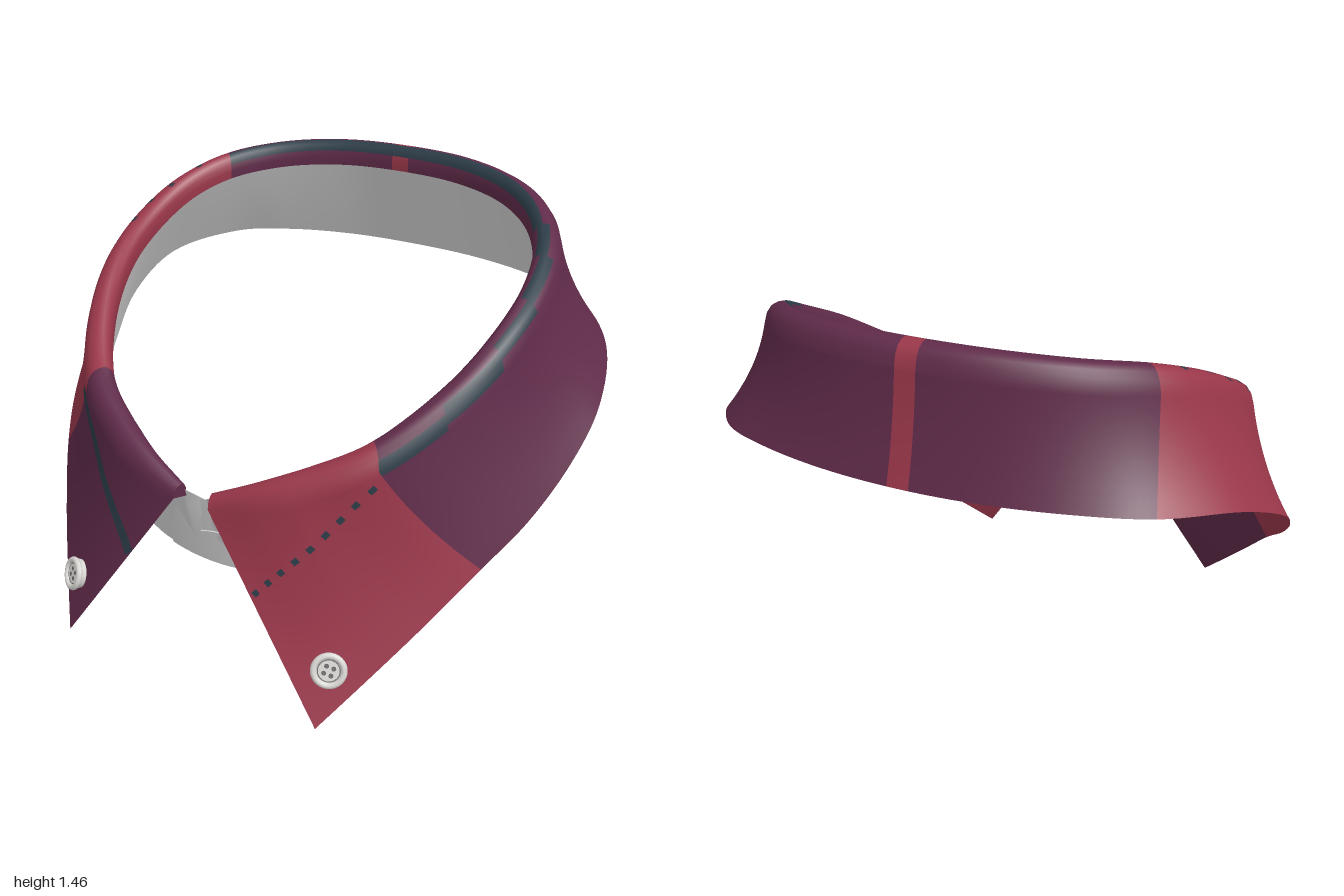
import * as THREE from 'three';

const V = (x, y, z) => new THREE.Vector3(x, y, z);
const { lerp, clamp } = THREE.MathUtils;
const mat = (name, color) => {
  const m = new THREE.MeshStandardMaterial({ color, side: THREE.DoubleSide });
  m.name = name;
  return m;
};

// Stations from front opening, round the left side, to centre back (mirrored for the right)
const crestHalf = [
  [.06, .665, .71], [.22, .735, .675], [.38, .805, .605], [.53, .885, .51], [.69, 1.04, .29], [.76, 1.17, .08],
  [.768, 1.265, -.12], [.73, 1.34, -.29], [.64, 1.395, -.44], [.48, 1.43, -.58], [.26, 1.45, -.665], [0, 1.455, -.69]];
const hemHalf = [
  [.5, 0, .81], [.60, .13, .69], [.72, .29, .54], [.84, .46, .37], [.925, .58, .215], [.985, .72, .03],
  [1, .845, -.15], [.93, .96, -.39], [.74, 1.01, -.63], [.54, 1.025, -.73], [.28, 1.03, -.795], [0, 1.03, -.815]];
const bandHalf = [
  [.06, .347, .614], [.23, .365, .592], [.40, .415, .535], [.59, .495, .425], [.77, .625, .23], [.86, .75, .025],
  [.91, .865, -.165], [.88, .97, -.385], [.715, 1.02, -.61], [.53, 1.03, -.71], [.275, 1.035, -.775], [0, 1.035, -.795]];

const LAST = 22;
const ring = half => {
  const left = half.map(p => V(...p));
  const right = half.slice(0, -1).reverse().map(p => V(-p[0], p[1], p[2]));
  return new THREE.CatmullRomCurve3([...left, ...right]);
};
const crest = ring(crestHalf), hem = ring(hemHalf), bandHem = ring(bandHalf);
const at = (curve, w) => curve.getPoint(clamp(w / LAST, 0, 1));
const fromEnd = w => Math.max(0, Math.min(w, LAST - w));

// Point of the rolled fold: outward offset and height from the crest; the roll is tighter at its ends
function foldPoint(w, out, dy) {
  const t = crest.getTangent(clamp(w / LAST, 0, 1));
  const n = V(-t.z, 0, t.x).normalize();
  const s = lerp(.55, 1, Math.min(1, fromEnd(w) / 1.5));
  return at(crest, w).addScaledVector(n, out * s).add(V(0, dy * s, 0));
}

// Point of the hanging leaf, flaring from the fold (v = 0) to the hem (v = 1)
function leafPoint(w, v) {
  const a = foldPoint(w, .052, -.07), b = at(hem, w);
  const k = lerp(.5, .24, Math.min(1, fromEnd(w) / 5));
  const c = V(lerp(a.x, b.x, k), (a.y + b.y) / 2, lerp(a.z, b.z, k));
  return new THREE.QuadraticBezierCurve3(a, c, b).getPoint(v);
}

function leafNormal(w, v) {
  const e = .02, w0 = Math.max(0, w - e), w1 = Math.min(LAST, w + e);
  const dw = leafPoint(w1, v).sub(leafPoint(w0, v));
  const dv = leafPoint(w, Math.min(1, v + e)).sub(leafPoint(w, Math.max(0, v - e)));
  return dv.cross(dw).normalize();
}

// Smooth surface through columns of points; pick(i, j) gives each cell's material slot
function grid(cols, pick = () => 0, slots = 1) {
  const rows = cols[0].length, lists = Array.from({ length: slots }, () => []);
  for (let i = 0; i < cols.length - 1; i++)
    for (let j = 0; j < rows - 1; j++) {
      const a = i * rows + j, b = a + rows;
      lists[pick(i, j)].push(a, a + 1, b, b, a + 1, b + 1);
    }
  const g = new THREE.BufferGeometry().setFromPoints(cols.flat());
  g.setIndex(lists.flat());
  let start = 0;
  lists.forEach((l, s) => { g.addGroup(start, l.length, s); start += l.length; });
  g.computeVertexNormals();
  return g;
}

// Accent line on a front point: height on the leaf by distance u from the opening
const accent = u => .4 - .33 * u / 3 + .045 * Math.sin(Math.PI * u / 3);

// Thin strip lying on the leaf along the accent line, on the left or right half
function ribbon(u0, u1, right, width, steps) {
  const point = u => [right ? LAST - u : u, accent(u)];
  const cols = [];
  for (let i = 0; i <= steps; i++) {
    const u = lerp(u0, u1, i / steps);
    const n = leafNormal(...point(u));
    const along = leafPoint(...point(u + .02)).sub(leafPoint(...point(u - .02)));
    const side = along.cross(n).normalize().multiplyScalar(width / 2);
    const p = leafPoint(...point(u)).addScaledVector(n, .004);
    cols.push([p.clone().add(side), p.clone().sub(side)]);
  }
  return grid(cols);
}

export function createModel() {
  const model = new THREE.Group();
  const red = mat('red cloth', 0x9a374a), purple = mat('purple cloth', 0x602b49), teal = mat('dark teal cloth', 0x2c3c47);
  const lining = mat('pale grey lining', 0xd9d9d9), pearl = mat('button white', 0xdad8d4);
  const grey = mat('button grey', 0x6c6c6e);
  const add = (name, geo, material, parent = model) => {
    const m = new THREE.Mesh(geo, material);
    m.name = name;
    parent.add(m);
    return m;
  };

  // Folded collar in colour-blocked cloth
  const ws = [10.87, 11.13];
  for (let i = 0; i <= LAST * 8; i++) ws.push(i / 8);
  ws.sort((a, b) => a - b);
  const roll = [[-.045, -.09], [-.047, -.062], [-.045, -.036], [-.036, -.014], [-.018, 0], [.005, -.003], [.026, -.014], [.042, -.036]];
  const column = w => {
    const pts = roll.map(r => foldPoint(w, ...r));
    for (let j = 0; j <= 12; j++) pts.push(leafPoint(w, (j / 12) ** 1.3));
    return pts;
  };
  const flecks = [[16.8, 17.05, 6], [16.35, 16.5, 5], [15.85, 16, 5], [15.35, 15.5, 4], [14.6, 14.75, 4]];
  const pick = (i, j) => {
    const w = (ws[i] + ws[i + 1]) / 2;
    if (w > 10.87 && w < 11.13) return j === 2 || j === 3 ? 2 : 0;
    // Dark band crossing the fold from the outside at the left front to the inside at the back
    const c = Math.max(3, 8.3 - (w - 3) * 1.1);
    if (w > 3 && w < 14 && Math.abs(j + .5 - c) < 1) return 2;
    if (flecks.some(([a, b, r]) => w > a && w < b && j === r)) return 2;
    return w < 3 || (w > 14 && w < 19) ? 0 : 1;
  };
  add('collar', grid(ws.map(column), pick, 3), [red, purple, teal]);

  // Closed ends of the fold at the front opening
  for (const [w, m, name] of [[0, red, 'leftFoldEnd'], [LAST, purple, 'rightFoldEnd']]) {
    const pts = column(w).slice(0, roll.length + 1), idx = [];
    for (let i = 1; i < pts.length - 1; i++) idx.push(0, i, i + 1);
    const g = new THREE.BufferGeometry().setFromPoints(pts);
    g.setIndex(idx);
    g.computeVertexNormals();
    add(name, g, m);
  }

  // Neck band inside the collar, meeting at the centre front
  const strip = (a, b) => Array.from({ length: 5 }, (_, j) => a.clone().lerp(b, j / 4));
  const front = strip(V(0, .605, .662), V(0, .345, .617));
  const band = ws.map(w => strip(foldPoint(w, -.034, -.045), at(bandHem, w)));
  add('neckBand', grid([front, ...band, front.map(p => p.clone())]), lining);

  // Overlapping band tab with a rounded end, following the curve of the neck band
  const tab = [];
  for (let i = 0; i <= 24; i++) {
    const x = lerp(.22, -.18, Math.sin(i / 24 * Math.PI / 2));
    const h = x > 0 ? .26 : .26 * Math.sqrt(Math.max(0, 1 - (x / .18) ** 2));
    const foot = V(x, .345 + .38 * x * x, .623 - .45 * x * x);
    tab.push(strip(foot.clone().add(V(0, h, .17 * h)), foot));
  }
  add('bandTab', grid(tab), lining);

  // Raised buttonhole on the tab
  const hole = new THREE.Shape();
  hole.moveTo(-.085, -.012);
  hole.quadraticCurveTo(-.01, .013, .08, .011);
  hole.quadraticCurveTo(.1, .001, .08, -.007);
  hole.quadraticCurveTo(-.01, -.005, -.085, -.012);
  const buttonhole = add('buttonhole', new THREE.ExtrudeGeometry(hole, { depth: .008, bevelEnabled: false }), lining);
  buttonhole.position.set(.05, .482, .643);
  buttonhole.rotation.x = .17;

  // Woven accent lines: solid on the right point, dashed on the left
  add('rightStripe', ribbon(3.05, .02, true, .043, 24), teal);
  for (let i = 0; i < 9; i++) {
    const u = 2.85 - i * .33;
    add('leftDash', ribbon(u, u - .12, false, .02, 2), teal);
  }

  // Four-hole buttons on both points
  for (const [w, name] of [[.7, 'leftButton'], [LAST - .7, 'rightButton']]) {
    const button = new THREE.Group();
    const n = leafNormal(w, .835);
    button.name = name;
    button.position.copy(leafPoint(w, .835)).addScaledVector(n, .004);
    button.quaternion.setFromUnitVectors(V(0, 0, 1), n);
    model.add(button);
    add('buttonDisc', new THREE.CylinderGeometry(.055, .05, .026, 28).rotateX(Math.PI / 2).translate(0, 0, .013), pearl, button);
    add('buttonRim', new THREE.TorusGeometry(.048, .011, 8, 28).translate(0, 0, .026), pearl, button);
    add('buttonGroove', new THREE.RingGeometry(.034, .037, 28).translate(0, 0, .0275), grey, button);
    for (let k = 0; k < 4; k++) {
      const a = k * Math.PI / 2 + .5;
      add('buttonEye', new THREE.CircleGeometry(.008, 10).translate(Math.cos(a) * .017, Math.sin(a) * .017, .028), grey, button);
    }
  }
  return model;
}
